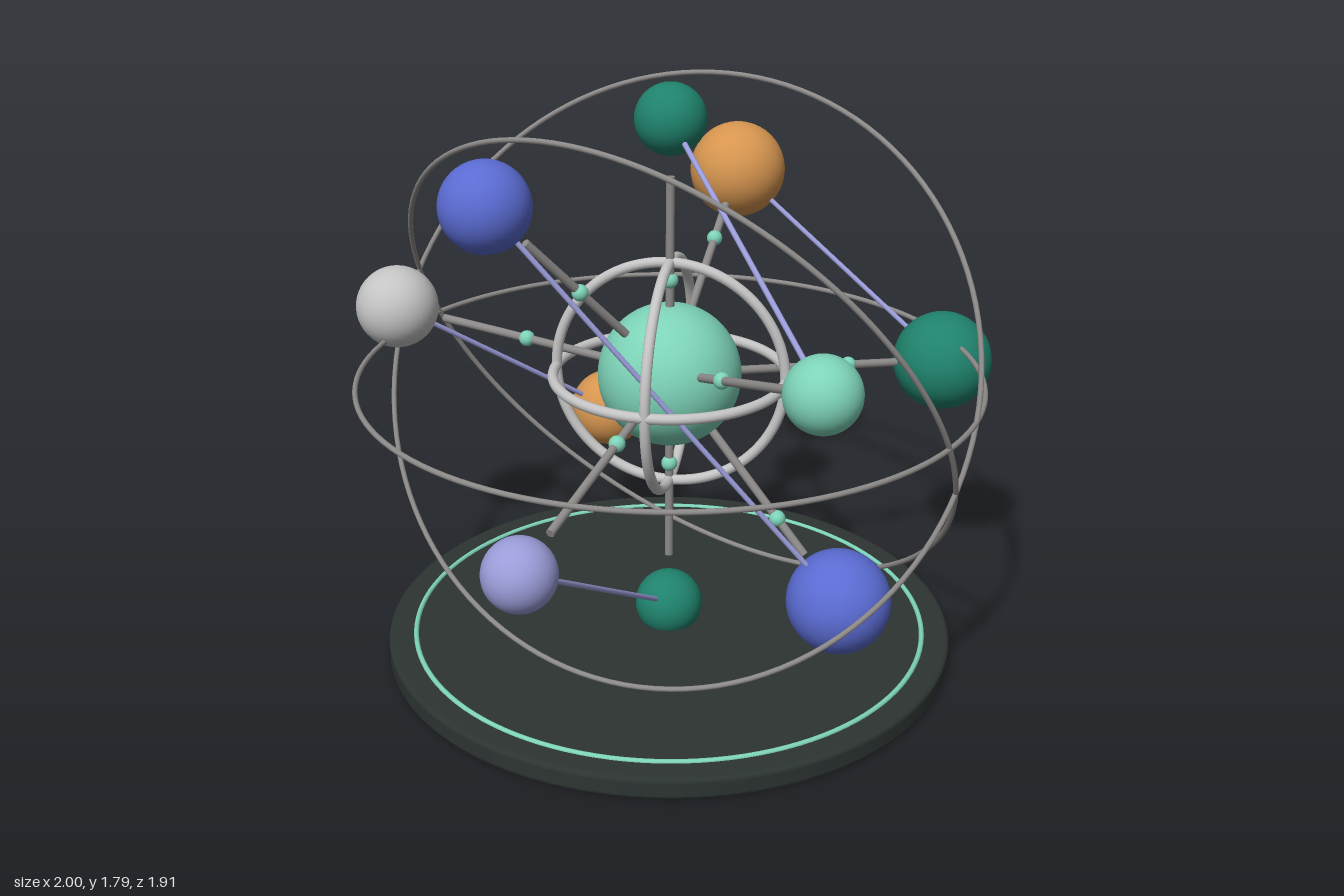
import * as THREE from 'three';

const paint = (name, color) => {
  const m = new THREE.MeshStandardMaterial({ color });
  m.name = name;
  return m;
};

export function createModel() {
  const mint = paint('mint', 0x7dd3b8);
  const green = paint('deep green', 0x1f826c);
  const blue = paint('blue', 0x5a6bd2);
  const orange = paint('orange', 0xd6954f);
  const lavender = paint('lavender', 0x9a9cd8);
  const silver = paint('silver', 0xc4c4c4);
  const steel = paint('steel', 0x8c8a88);
  const charcoal = paint('charcoal', 0x2c3432);

  const model = new THREE.Group();
  model.name = 'orbitalSculpture';
  const center = new THREE.Vector3(0.05, 0.905, -0.005);
  const Y = new THREE.Vector3(0, 1, 0);
  const Z = new THREE.Vector3(0, 0, 1);

  const add = (name, geometry, material, position) => {
    const mesh = new THREE.Mesh(geometry, material);
    mesh.name = name;
    mesh.position.copy(position);
    model.add(mesh);
    return mesh;
  };
  const ball = (name, r, material, position, seg = 40) =>
    add(name, new THREE.SphereGeometry(r, seg, seg * 0.6), material, position);
  const bar = (name, a, b, r, material) => {
    const dir = b.clone().sub(a);
    const mesh = add(name, new THREE.CylinderGeometry(r, r, dir.length(), 14), material,
      a.clone().lerp(b, 0.5));
    mesh.quaternion.setFromUnitVectors(Y, dir.normalize());
  };
  // Ring standing square to the given axis
  const ring = (name, radius, tube, material, axis, position = center) => {
    const mesh = add(name, new THREE.TorusGeometry(radius, tube, 12, 120), material, position);
    mesh.quaternion.setFromUnitVectors(Z, new THREE.Vector3(...axis).normalize());
  };

  // Bevelled round base with an inlaid ring
  const disc = new THREE.Shape().absarc(0, 0, 0.87, 0, Math.PI * 2);
  const baseGeometry = new THREE.ExtrudeGeometry(disc, {
    depth: 0.043, bevelThickness: 0.012, bevelSize: 0.015, bevelSegments: 3, curveSegments: 64,
  }).rotateX(-Math.PI / 2).translate(0, 0.012, 0);
  add('base', baseGeometry, charcoal, new THREE.Vector3(center.x, 0, center.z));
  ring('baseInlay', 0.8, 0.008, mint, [0, 1, 0], new THREE.Vector3(center.x, 0.067, center.z));

  // Core and its three crossed rings
  ball('core', 0.217, mint, center, 56);
  for (const axis of [[1, 0, 0], [0, 1, 0], [0, 0, 1]]) ring('innerRing', 0.352, 0.016, silver, axis);

  // Wide thin orbits
  for (const axis of [[0, 1, 0], [-0.35, -0.515, 0.783], [-0.17, 0.475, 0.866]])
    ring('orbitRing', 0.938, 0.008, steel, axis);

  // Satellites from top to bottom, cycling through three sizes
  const satellites = [
    [0.05, 1.687, -0.005, green], [-0.385, 1.513, 0.392, blue], [0.118, 1.338, -0.787, orange],
    [0.59, 1.167, 0.695, mint], [-0.871, 0.993, -0.171, silver], [0.84, 0.821, -0.511, green],
    [-0.179, 0.647, 0.851, lavender], [-0.31, 0.474, -0.705, orange], [0.607, 0.3, 0.194, blue],
    [0.05, 0.123, -0.005, green],
  ].map(([x, y, z, material]) => ({ at: new THREE.Vector3(x, y, z), material }));

  satellites.forEach(({ at, material }, i) => {
    const size = i % 3;
    const reach = center.distanceTo(at);
    ball('satellite', 0.105 + size * 0.026, material, at);
    bar('spoke', center, center.clone().lerp(at, 1 - 0.17 / reach), 0.013, steel);
    ball('spokeBead', 0.025, mint, center.clone().lerp(at, 0.38 + size * 0.13), 20);
    // Every other satellite is tied to the one three places on
    if (i % 2 === 0) bar('link', at, satellites[(i + 3) % 10].at, 0.008, lavender);
  });

  return model;
}
